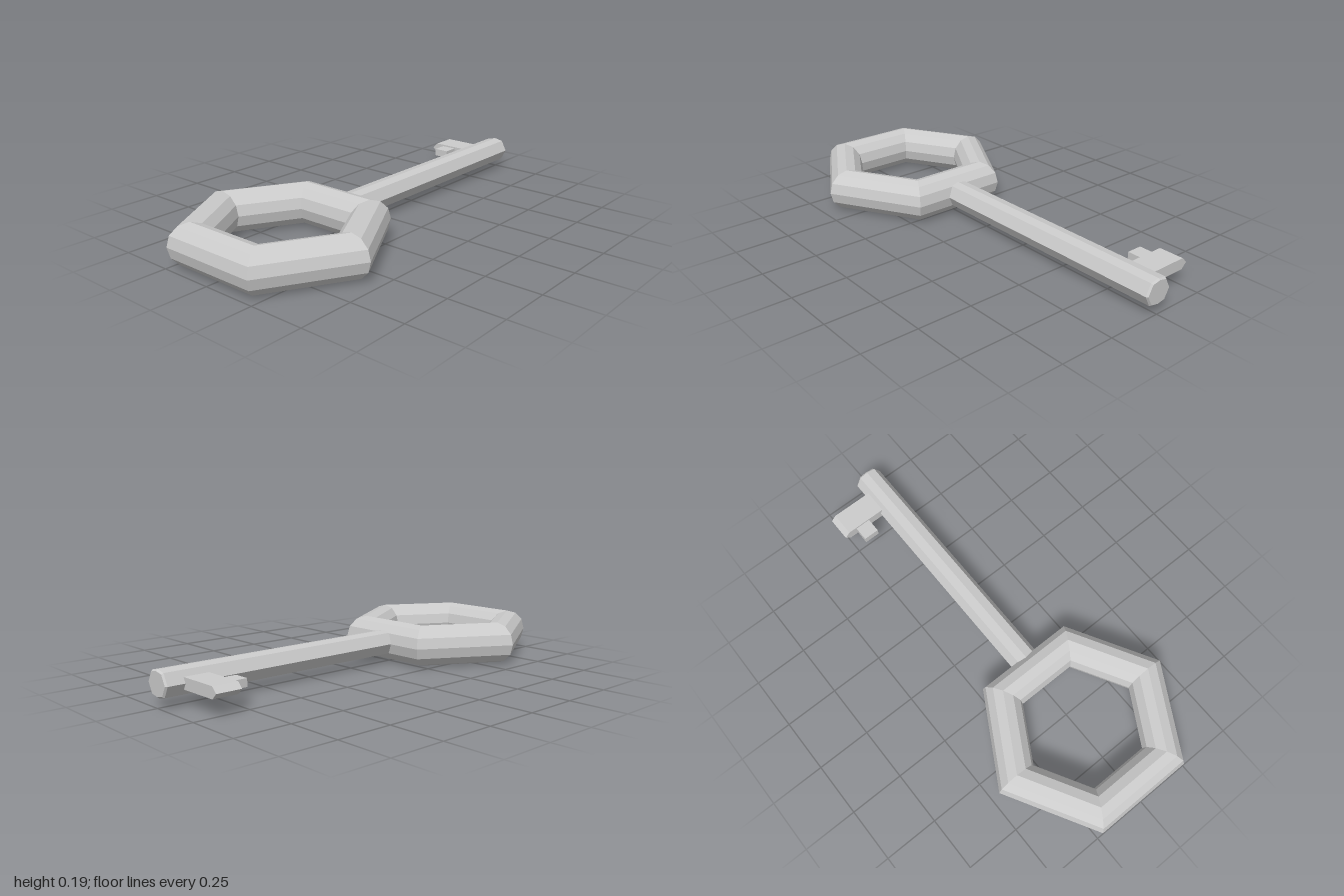
import * as THREE from 'three';

const MID = 0.095; // height of the key's middle plane

export function createModel() {
  const key = new THREE.Group();
  key.name = 'key';
  const material = new THREE.MeshStandardMaterial({ color: 0xcccccc, flatShading: true });

  const add = (name, geometry, x, y, z) => {
    const mesh = new THREE.Mesh(geometry, material);
    mesh.name = name;
    mesh.position.set(x, y, z);
    key.add(mesh);
    return mesh;
  };
  const outline = (points) => new THREE.Shape(points.map(([x, y]) => new THREE.Vector2(x, y)));

  // Six-sided ring handle, lying flat
  const ring = new THREE.TorusGeometry(0.371, 0.095, 12, 6);
  ring.rotateX(-Math.PI / 2);
  add('ringHandle', ring, 0, MID, 0.595);

  // Flattened eight-sided shaft with slightly chamfered ends
  const section = outline([
    [0.067, 0], [0.041, 0.049], [0, 0.057], [-0.041, 0.049],
    [-0.067, 0], [-0.041, -0.049], [0, -0.057], [0.041, -0.049],
  ]);
  const shaft = new THREE.ExtrudeGeometry(section, {
    depth: 1.22, bevelEnabled: true, bevelSegments: 1,
    bevelSize: 0.006, bevelThickness: 0.008, bevelOffset: -0.006,
  });
  add('shaft', shaft, -0.002, MID + 0.001, -0.992);

  // Flat bit with a wedge-shaped outer end
  const plate = outline([
    [-0.275, 0], [-0.25, -0.025], [-0.02, -0.025], [-0.02, 0.025], [-0.25, 0.025],
  ]);
  add('bit', new THREE.ExtrudeGeometry(plate, { depth: 0.115, bevelEnabled: false }), 0, MID, -0.915);

  // Small tooth pointing back toward the handle
  add('bitTooth', new THREE.BoxGeometry(0.073, 0.035, 0.09), -0.173, MID, -0.775);

  return key;
}
